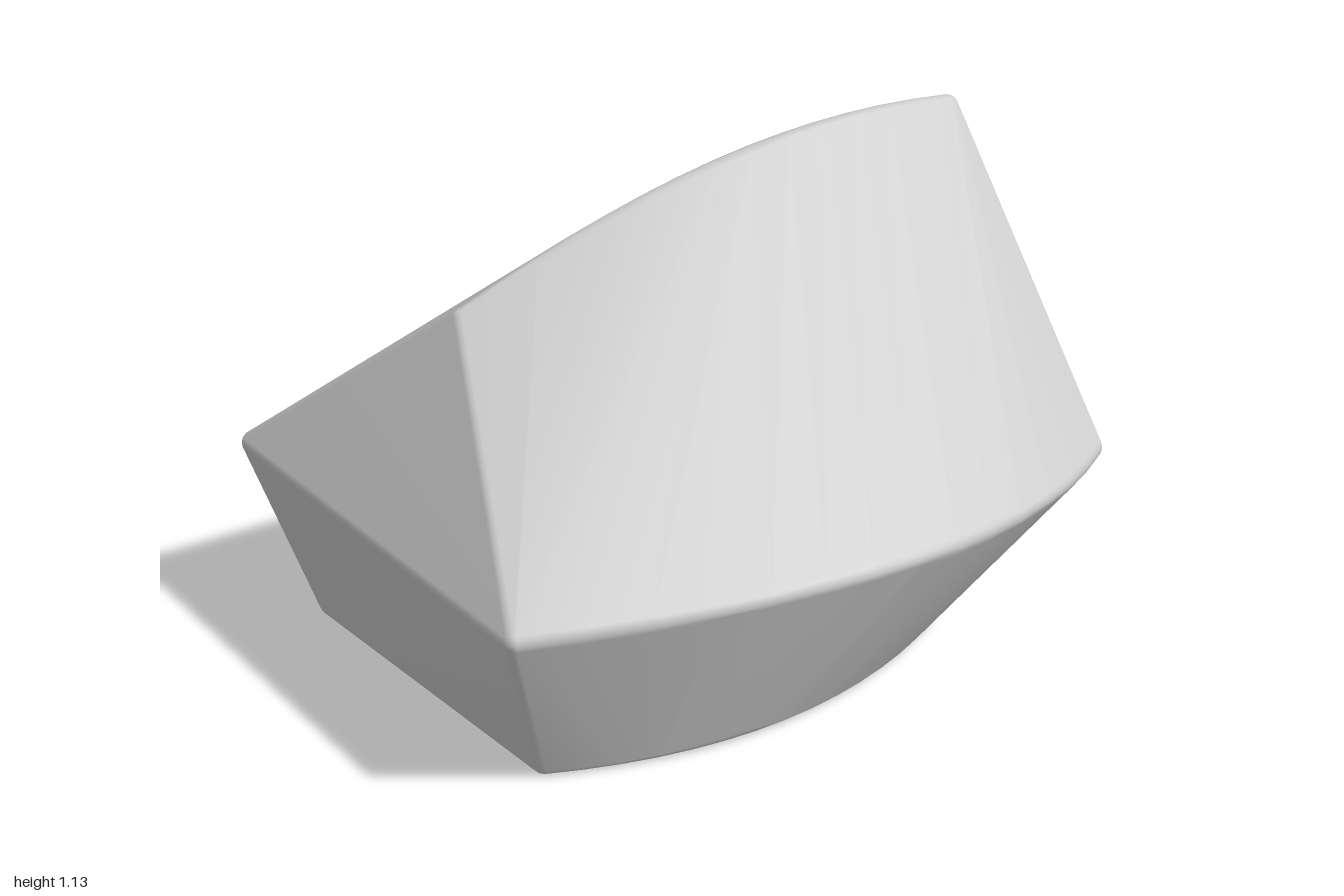
import * as THREE from 'three';
import { ConvexGeometry } from 'three/addons/geometries/ConvexGeometry.js';
import { mergeVertices } from 'three/addons/utils/BufferGeometryUtils.js';

const v = (x, y, z) => new THREE.Vector3(x, y, z);
const arc = (a, control, b) => new THREE.QuadraticBezierCurve3(a, control, b).getPoints(14);

export function createModel() {
  // Arched ridge along the top
  const ridge = arc(v(-0.43, 0.86, 0.2), v(0.08, 1.18, -0.27), v(0.58, 1.115, -0.74));

  // Widest outline: a bowed front edge and three corners behind it
  const rim = [
    ...arc(v(-0.15, 0.43, 0.835), v(0.835, 0.43, 0.405), v(1, 0.45, -0.24)),
    v(0.78, 0.49, -0.845), v(-0.12, 0.41, -0.695), v(-1, 0.43, 0.08),
  ];

  // Smaller footprint with the same layout
  const base = [
    ...arc(v(-0.14, 0, 0.67), v(0.45, 0, 0.46), v(0.64, 0, -0.11)),
    v(0.44, 0, -0.57), v(0.0, 0, -0.48), v(-0.82, 0, 0.12),
  ];

  // Every corner becomes a small ball set inside it; their hull has rounded edges
  const radius = 0.03;
  const centre = v(0, 0.45, 0);
  const ball = mergeVertices(
    new THREE.IcosahedronGeometry(radius, 2).deleteAttribute('normal').deleteAttribute('uv'));
  const ballPos = ball.getAttribute('position');
  const points = [];
  for (const corner of [...ridge, ...rim, ...base]) {
    const inset = centre.clone().sub(corner).setLength(radius);
    const c = corner.clone().add(inset);
    if (corner.y === 0) c.y = radius;
    for (let i = 0; i < ballPos.count; i++) {
      points.push(new THREE.Vector3().fromBufferAttribute(ballPos, i).add(c));
    }
  }

  // Shared vertices give area-weighted normals: flat facets, soft edges
  const hull = new ConvexGeometry(points);
  hull.deleteAttribute('normal');
  const geometry = mergeVertices(hull, 1e-5);
  geometry.computeVertexNormals();

  const rock = new THREE.Mesh(geometry, new THREE.MeshStandardMaterial({ color: 0xcccccc }));
  rock.name = 'rock';
  const group = new THREE.Group();
  group.name = 'boulder';
  group.add(rock);
  return group;
}
